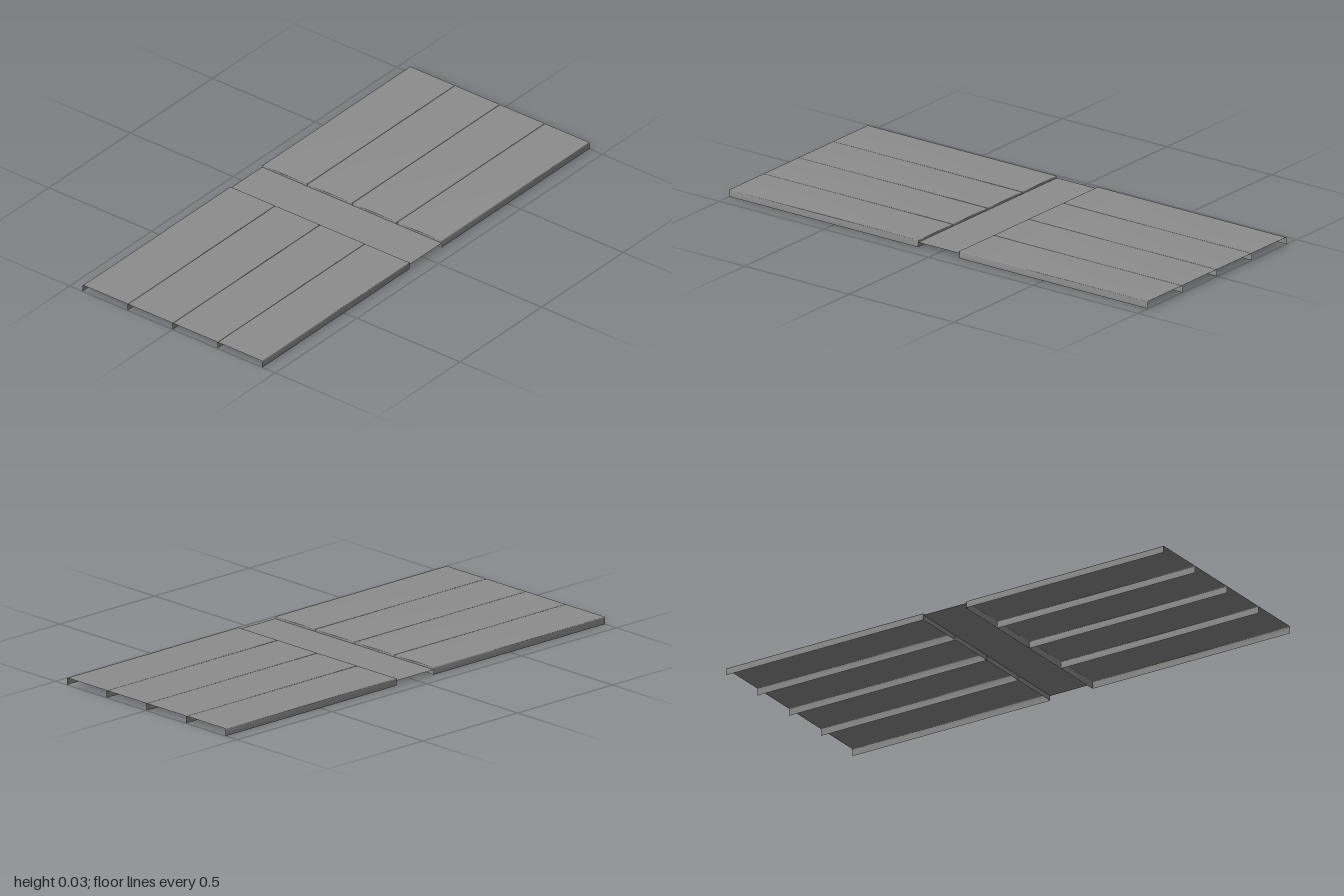
import * as THREE from 'three';

const INNER = 0.097, OUTER = 1, HALF_DEPTH = 0.437;
const COUNT = 4, HEIGHT = 0.029, BEVEL = 0.003, STRIP_Y = 0.02;

const material = new THREE.MeshStandardMaterial({ color: 0x8d8d8d, side: THREE.DoubleSide });

// Outline of a panel, open at its outer end, with clipped inner corners
function outline(y, inset, halfWidth) {
  const x = INNER + inset, w = halfWidth - inset;
  return [
    [OUTER, y, w], [x + BEVEL, y, w], [x, y, w - BEVEL],
    [x, y, -w + BEVEL], [x + BEVEL, y, -w], [OUTER, y, -w],
  ];
}

// Folded sheet: flanges on three sides, softened top edge, flat top
function panelGeometry(halfWidth) {
  const rings = [
    outline(0, 0, halfWidth),
    outline(HEIGHT - BEVEL, 0, halfWidth),
    outline(HEIGHT, BEVEL, halfWidth),
  ];
  const n = rings[0].length, index = [];
  for (let r = 0; r < rings.length - 1; r++) {
    for (let i = 0; i < n - 1; i++) {
      const a = r * n + i, b = a + 1, c = a + n, d = b + n;
      index.push(a, b, c, b, d, c);
    }
  }
  const top = (rings.length - 1) * n;
  for (let i = 1; i < n - 1; i++) index.push(top, top + i, top + i + 1);
  // The outline runs clockwise from above, so reverse it to face outward
  index.reverse();
  const geometry = new THREE.BufferGeometry();
  geometry.setAttribute('position', new THREE.Float32BufferAttribute(rings.flat(2), 3));
  geometry.setIndex(index);
  geometry.computeVertexNormals();
  return geometry;
}

export function createModel() {
  const model = new THREE.Group();
  model.name = 'panelledSheet';

  // Two mirrored rows of four panels
  const pitch = (2 * HALF_DEPTH) / COUNT;
  const geometry = panelGeometry(pitch / 2);
  for (const [name, turn] of [['left', 0], ['right', Math.PI]]) {
    const row = new THREE.Group();
    row.name = name + 'PanelRow';
    row.rotation.y = turn;
    for (let i = 0; i < COUNT; i++) {
      const panel = new THREE.Mesh(geometry, material);
      panel.name = name + 'Panel' + (i + 1);
      panel.position.z = (i - (COUNT - 1) / 2) * pitch;
      row.add(panel);
    }
    model.add(row);
  }

  // Thin recessed strip joining the rows
  const strip = new THREE.Mesh(new THREE.PlaneGeometry(2 * INNER, 2 * HALF_DEPTH), material);
  strip.name = 'centreStrip';
  strip.rotation.x = -Math.PI / 2;
  strip.position.y = STRIP_Y;
  model.add(strip);

  return model;
}
